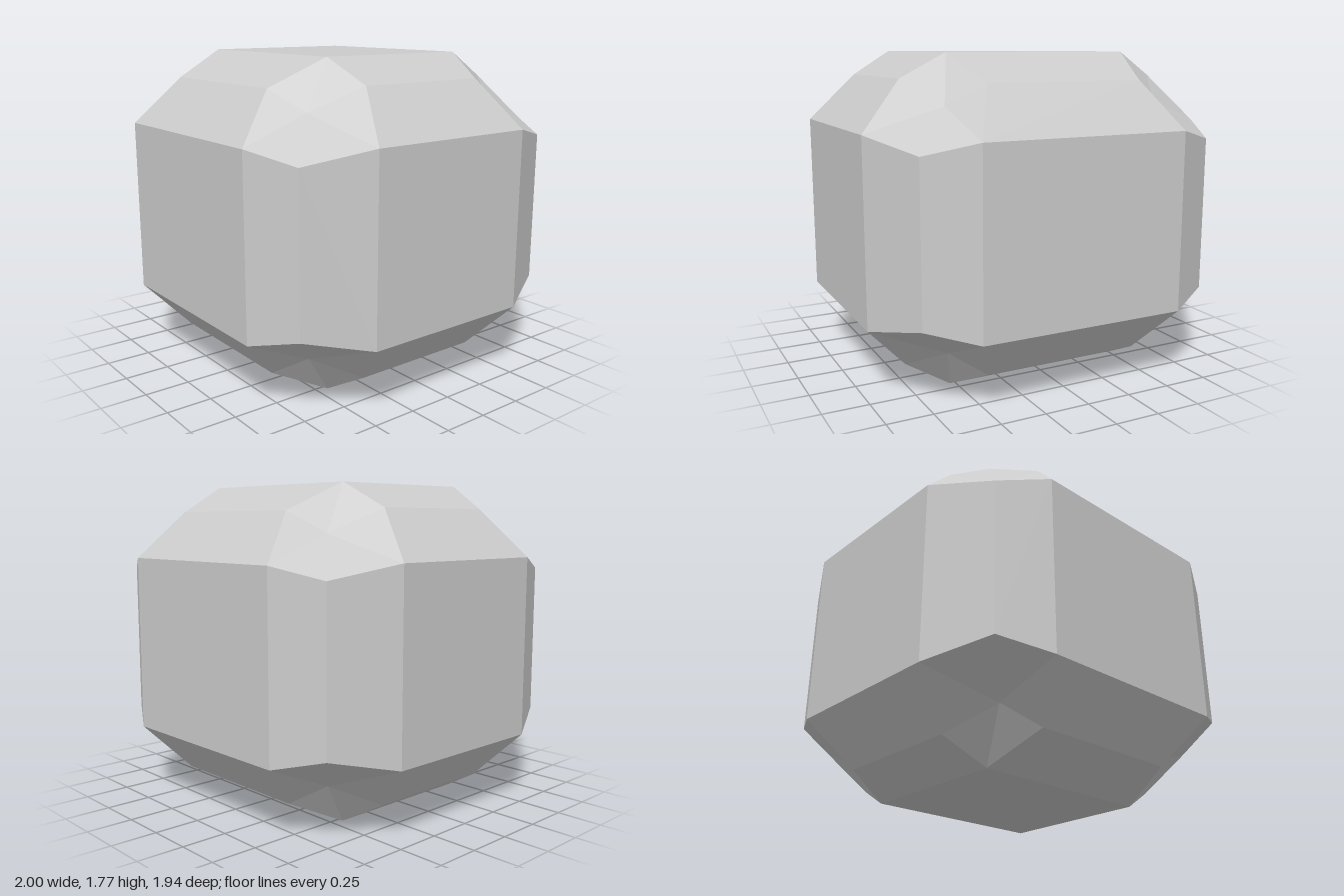
import * as THREE from 'three';

const BASE = 0.885; // half height

// Points of one corner octant, measured from the block's centre
const P = {
  front: [0.58, 0.485, 0.97],
  top: [0.53, 0.885, 0.44],
  side: [1, 0.495, 0.5],
  frontTop: [0.445, 0.74, 0.74],
  sideTop: [0.76, 0.755, 0.38],
  frontSide: [0.835, 0.42, 0.835],
  corner: [0.62, 0.63, 0.63],
};

const at = (name, s) => new THREE.Vector3(...P[name].map((v, i) => v * s[i]));

// Collects polygons as triangle fans that always face away from the centre
function makeMesh(name, polygons) {
  const pos = [];
  for (const poly of polygons) {
    for (let i = 1; i < poly.length - 1; i++) {
      let [a, b, c] = [poly[0], poly[i], poly[i + 1]];
      const n = b.clone().sub(a).cross(c.clone().sub(a));
      if (n.dot(a.clone().add(b).add(c)) < 0) [b, c] = [c, b];
      for (const p of [a, b, c]) pos.push(p.x, p.y + BASE, p.z);
    }
  }
  const geo = new THREE.BufferGeometry();
  geo.setAttribute('position', new THREE.Float32BufferAttribute(pos, 3));
  geo.computeVertexNormals();
  const mesh = new THREE.Mesh(geo, new THREE.MeshStandardMaterial({ color: 0xcccccc, flatShading: true }));
  mesh.name = name;
  return mesh;
}

export function createModel() {
  const faces = [], bevels = [], corners = [];
  const signs = [1, -1];

  // Six flat faces: each mirrors one point across its two in-plane axes
  ['side', 'top', 'front'].forEach((name, axis) => {
    const [u, v] = [0, 1, 2].filter((k) => k !== axis);
    for (const d of signs) {
      faces.push([[1, 1], [-1, 1], [-1, -1], [1, -1]].map(([a, b]) => {
        const s = [];
        s[axis] = d; s[u] = a; s[v] = b;
        return at(name, s);
      }));
    }
  });

  // Twelve edges, each bevelled by two strips running along one axis
  [['front', 'frontTop', 'top'], ['front', 'frontSide', 'side'], ['side', 'sideTop', 'top']].forEach((path, k) => {
    const axis = [0, 1, 2][k];
    const [u, v] = [0, 1, 2].filter((i) => i !== axis);
    for (const a of signs) for (const b of signs) {
      const end = (name, d) => {
        const s = [];
        s[axis] = d; s[u] = a; s[v] = b;
        return at(name, s);
      };
      for (let i = 0; i < 2; i++) {
        bevels.push([end(path[i], 1), end(path[i], -1), end(path[i + 1], -1), end(path[i + 1], 1)]);
      }
    }
  });

  // Eight corners: a six-sided patch fanned about its middle point
  const ring = ['front', 'frontTop', 'top', 'sideTop', 'side', 'frontSide', 'front'];
  for (const x of signs) for (const y of signs) for (const z of signs) {
    corners.push(['corner', ...ring].map((name) => at(name, [x, y, z])));
  }

  const group = new THREE.Group();
  group.name = 'bevelledBlock';
  group.add(makeMesh('flatFaces', faces), makeMesh('edgeBevels', bevels), makeMesh('cornerFacets', corners));
  return group;
}
